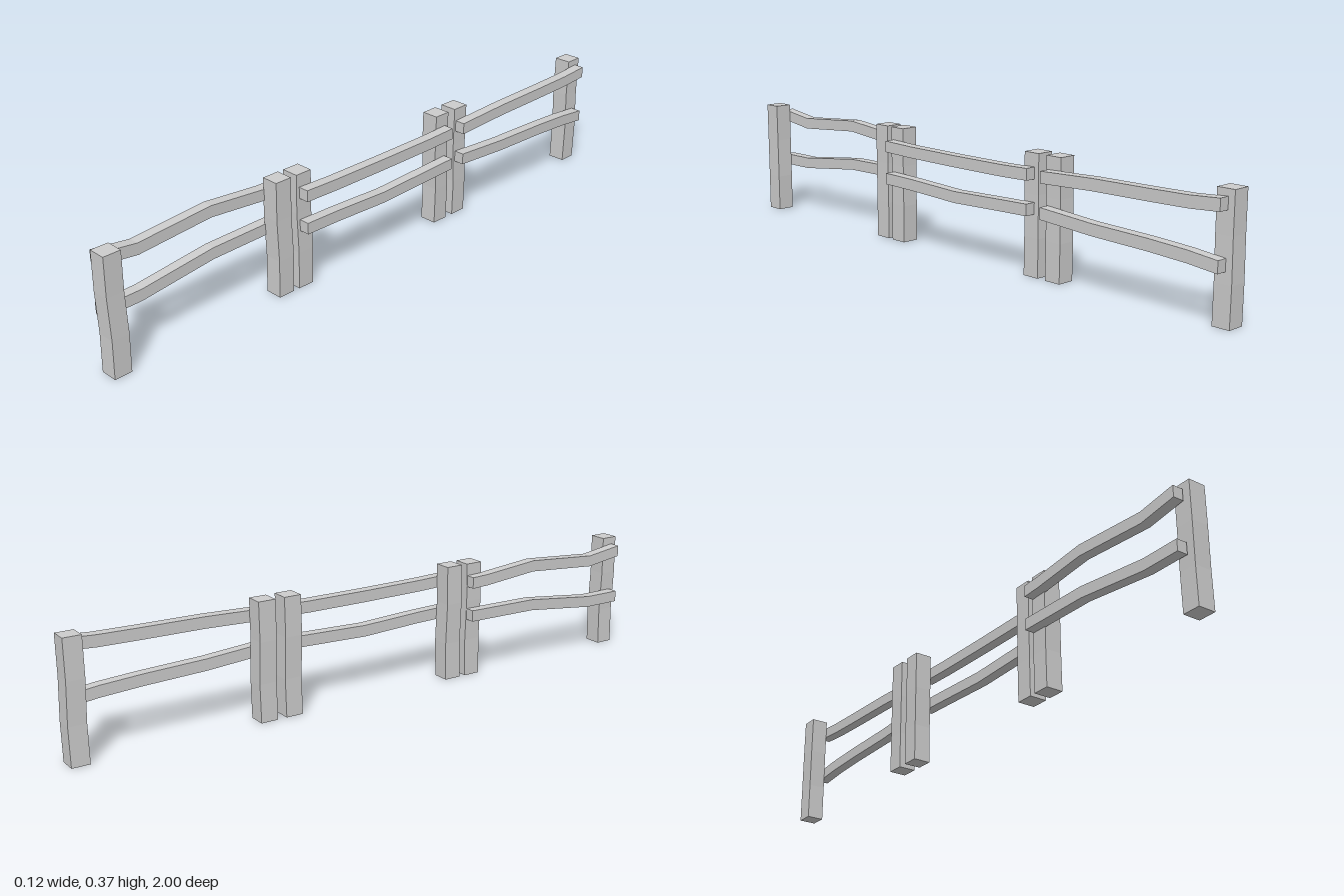
import * as THREE from 'three';

const material = new THREE.MeshStandardMaterial({ color: 0xcccccc, flatShading: true });

// Square bar along y whose cross-sections are shifted by stations [y, dx, dz]
function createPost(x, z, bends) {
  const geo = new THREE.BoxGeometry(0.056, 1, 0.056, 1, bends.length - 1, 1);
  const pos = geo.attributes.position;
  for (let i = 0; i < pos.count; i++) {
    const [y, dx, dz] = bends[Math.round((pos.getY(i) + 0.5) * (bends.length - 1))];
    pos.setXYZ(i, pos.getX(i) + x + dx, y, pos.getZ(i) + z + dz);
  }
  geo.computeVertexNormals();
  const mesh = new THREE.Mesh(geo, material);
  mesh.name = 'post';
  return mesh;
}

// Rail running along z through stations [z, centre height], front to back
function createRail(x, stations, name) {
  const n = stations.length - 1;
  const geo = new THREE.BoxGeometry(0.034, 0.036, 1, 1, 1, n);
  const pos = geo.attributes.position;
  for (let i = 0; i < pos.count; i++) {
    const [z, y] = stations[Math.round((0.5 - pos.getZ(i)) * n)];
    pos.setXYZ(i, pos.getX(i) + x, pos.getY(i) + y, z);
  }
  geo.computeVertexNormals();
  const mesh = new THREE.Mesh(geo, material);
  mesh.name = name;
  return mesh;
}

export function createModel() {
  const fence = new THREE.Group();
  fence.name = 'fence';

  // Slight hand-cut bend of the posts
  const bends = [[0, 0, 0], [0.12, 0.001, -0.002], [0.25, -0.001, 0.001], [0.373, 0, 0]];

  const sections = [
    {
      name: 'frontSection', railX: -0.044, posts: [[0.005, 0.971], [-0.002, 0.378]],
      upper: [[0.977, 0.333], [0.85, 0.316], [0.6, 0.336], [0.41, 0.319], [0.352, 0.317]],
      lower: [[0.977, 0.173], [0.85, 0.174], [0.6, 0.204], [0.41, 0.207], [0.352, 0.208]],
    },
    {
      name: 'middleSection', railX: 0.044, posts: [[-0.001, 0.302], [-0.001, -0.292]],
      upper: [[0.32, 0.314], [0.2, 0.311], [0, 0.31], [-0.2, 0.311], [-0.304, 0.314]],
      lower: [[0.32, 0.209], [0.2, 0.207], [0, 0.199], [-0.2, 0.206], [-0.304, 0.209]],
    },
    {
      name: 'backSection', railX: 0.044, posts: [[-0.001, -0.378], [-0.001, -0.971]],
      upper: [[-0.357, 0.314], [-0.55, 0.322], [-0.75, 0.325], [-0.88, 0.328], [-0.979, 0.335]],
      lower: [[-0.357, 0.208], [-0.55, 0.195], [-0.75, 0.189], [-0.88, 0.182], [-0.979, 0.172]],
    },
  ];

  // Each section has two posts and two rails on one side
  for (const s of sections) {
    const group = new THREE.Group();
    group.name = s.name;
    for (const [x, z] of s.posts) group.add(createPost(x, z, bends));
    group.add(createRail(s.railX, s.upper, 'upperRail'), createRail(s.railX, s.lower, 'lowerRail'));
    fence.add(group);
  }
  return fence;
}
